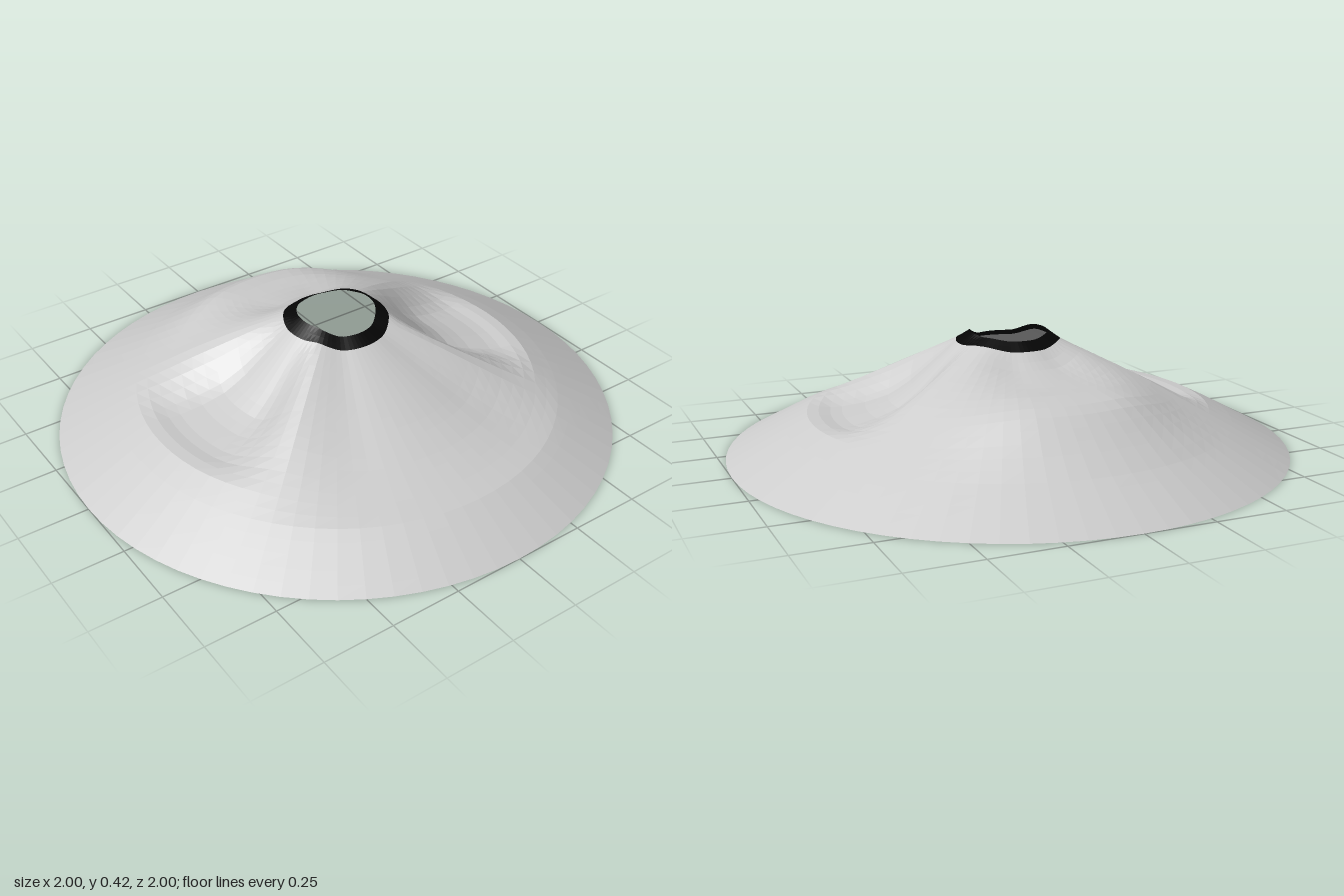
import * as THREE from 'three';

// Radial height profiles as [radius, height] pairs
const CONE = [[0.14, 0.415], [0.185, 0.395], [0.3, 0.35], [0.4, 0.308], [0.5, 0.262], [0.6, 0.21], [0.7, 0.158], [0.8, 0.106], [1, 0]];
const HOLLOW = [[0.14, 0.42], [0.185, 0.386], [0.25, 0.328], [0.35, 0.24], [0.42, 0.192], [0.5, 0.165], [0.6, 0.147], [0.65, 0.146], [0.7, 0.155], [0.8, 0.106], [1, 0]];
const SLUMP = [[0.14, 0.39], [0.185, 0.365], [0.3, 0.305], [0.4, 0.255], [0.5, 0.205], [0.6, 0.163], [0.7, 0.13], [0.8, 0.104], [1, 0]];
const SHOULDER = [[0.14, 0.405], [0.185, 0.378], [0.25, 0.335], [0.33, 0.312], [0.4, 0.3], [0.47, 0.295], [0.55, 0.28], [0.6, 0.255], [0.7, 0.18], [0.8, 0.112], [1, 0]];

// Features around the cone: direction in degrees (0 = +x, 90 = +z), flat and outer half angles
const FEATURES = [
  { profile: HOLLOW, angle: 87, flat: 12, reach: 38 },
  { profile: HOLLOW, angle: -83, flat: 12, reach: 38 },
  { profile: SLUMP, angle: 0, flat: 24, reach: 62 },
  { profile: SHOULDER, angle: 180, flat: 14, reach: 52 },
];

function sample(profile, r) {
  for (let i = 1; i < profile.length; i++) {
    const [r0, y0] = profile[i - 1];
    const [r1, y1] = profile[i];
    if (r <= r1) return THREE.MathUtils.lerp(y0, y1, (r - r0) / (r1 - r0));
  }
  return 0;
}

function height(x, z) {
  const r = Math.hypot(x, z);
  const degrees = THREE.MathUtils.radToDeg(Math.atan2(z, x));
  const base = sample(CONE, r);
  let y = base;
  for (const f of FEATURES) {
    const away = Math.abs(THREE.MathUtils.euclideanModulo(degrees - f.angle + 180, 360) - 180);
    const weight = 1 - THREE.MathUtils.smoothstep(away, f.flat, f.reach);
    y += weight * (sample(f.profile, r) - base);
  }
  return Math.max(0, y);
}

// Ring laid flat, then lifted onto the sculpted cone
function sculptedRing(inner, outer, rings, material, name) {
  const geometry = new THREE.RingGeometry(inner, outer, 72, rings);
  geometry.rotateX(-Math.PI / 2);
  const p = geometry.attributes.position;
  for (let i = 0; i < p.count; i++) p.setY(i, height(p.getX(i), p.getZ(i)));
  geometry.computeVertexNormals();
  const mesh = new THREE.Mesh(geometry, material);
  mesh.name = name;
  return mesh;
}

export function createModel() {
  const group = new THREE.Group();
  group.name = 'dentedCone';
  const options = { flatShading: true, side: THREE.DoubleSide };
  const grey = new THREE.MeshStandardMaterial({ color: 0xcccccc, ...options });
  grey.name = 'light grey';
  const black = new THREE.MeshStandardMaterial({ color: 0x050505, ...options });
  black.name = 'black';

  // Open shell and the dark band around its mouth
  group.add(sculptedRing(0.185, 1, 20, grey, 'coneShell'));
  group.add(sculptedRing(0.138, 0.185, 2, black, 'mouthRim'));
  return group;
}
